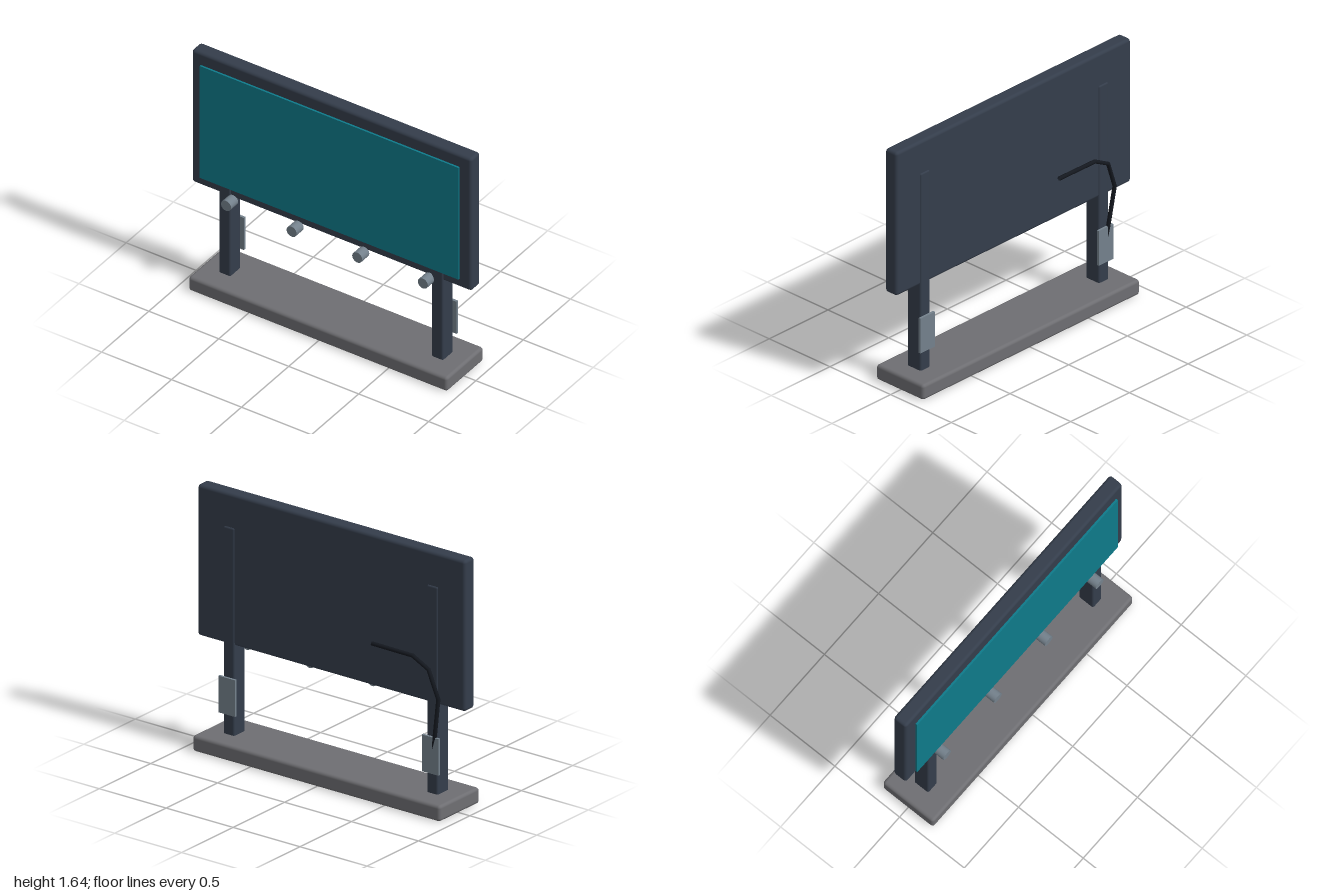
import * as THREE from 'three';
import { RoundedBoxGeometry } from 'three/addons/geometries/RoundedBoxGeometry.js';

const mat = (color) => new THREE.MeshStandardMaterial({ color });
const navy = mat(0x343d4b), teal = mat(0x0e7a8a), stone = mat(0x6e6e72);
const steel = mat(0x74818c), black = mat(0x14181f);
black.side = THREE.DoubleSide;

// Straight-segment path with mitred joints, one knot per tube ring
class KnotPath extends THREE.Curve {
  constructor(points) {
    super();
    this.points = points;
  }
  getUtoTmapping(u) {
    return u;
  }
  getPoint(t, target = new THREE.Vector3()) {
    const n = this.points.length - 1;
    const i = Math.min(Math.floor(t * n + 1e-9), n - 1);
    return target.lerpVectors(this.points[i], this.points[i + 1], t * n - i);
  }
}

export function createModel() {
  const model = new THREE.Group();
  model.name = 'billboard';

  const add = (name, geometry, material, x, y, z) => {
    const mesh = new THREE.Mesh(geometry, material);
    mesh.name = name;
    mesh.position.set(x, y, z);
    model.add(mesh);
    return mesh;
  };

  // Base slab, frame panel and display face
  add('base', new RoundedBoxGeometry(1.85, 0.102, 0.39, 2, 0.02), stone, 0, 0.051, 0);
  add('panel', new RoundedBoxGeometry(2, 0.965, 0.096, 2, 0.02), navy, 0, 1.158, 0);
  add('screen', new THREE.BoxGeometry(1.85, 0.815, 0.013), teal, 0, 1.157, 0.067);

  // Posts with a junction plate behind each
  for (const side of [-1, 1]) {
    add('post', new RoundedBoxGeometry(0.083, 1.34, 0.11, 2, 0.012), navy, side * 0.76, 0.757, 0);
    add('backPlate', new THREE.BoxGeometry(0.124, 0.234, 0.016), steel, side * 0.76, 0.352, -0.066);
  }

  // Row of lamps under the screen
  const lampGeometry = new THREE.CylinderGeometry(0.036, 0.036, 0.075, 20).rotateX(Math.PI / 2);
  for (let i = 0; i < 4; i++) {
    add('lamp', lampGeometry, steel, -0.705 + i * 0.469, 0.661, 0.083);
  }

  // Cable rising from the plate and bending across the back
  const path = new KnotPath([
    [-0.76, 0.3, -0.056], [-0.792, 0.5, -0.067], [-0.826, 0.725, -0.08],
    [-0.76, 0.905, -0.09], [-0.644, 0.966, -0.093], [-0.34, 0.968, -0.092],
  ].map((p) => new THREE.Vector3(...p)));
  add('cable', new THREE.TubeGeometry(path, 5, 0.013, 8), black, 0, 0, 0);

  return model;
}
